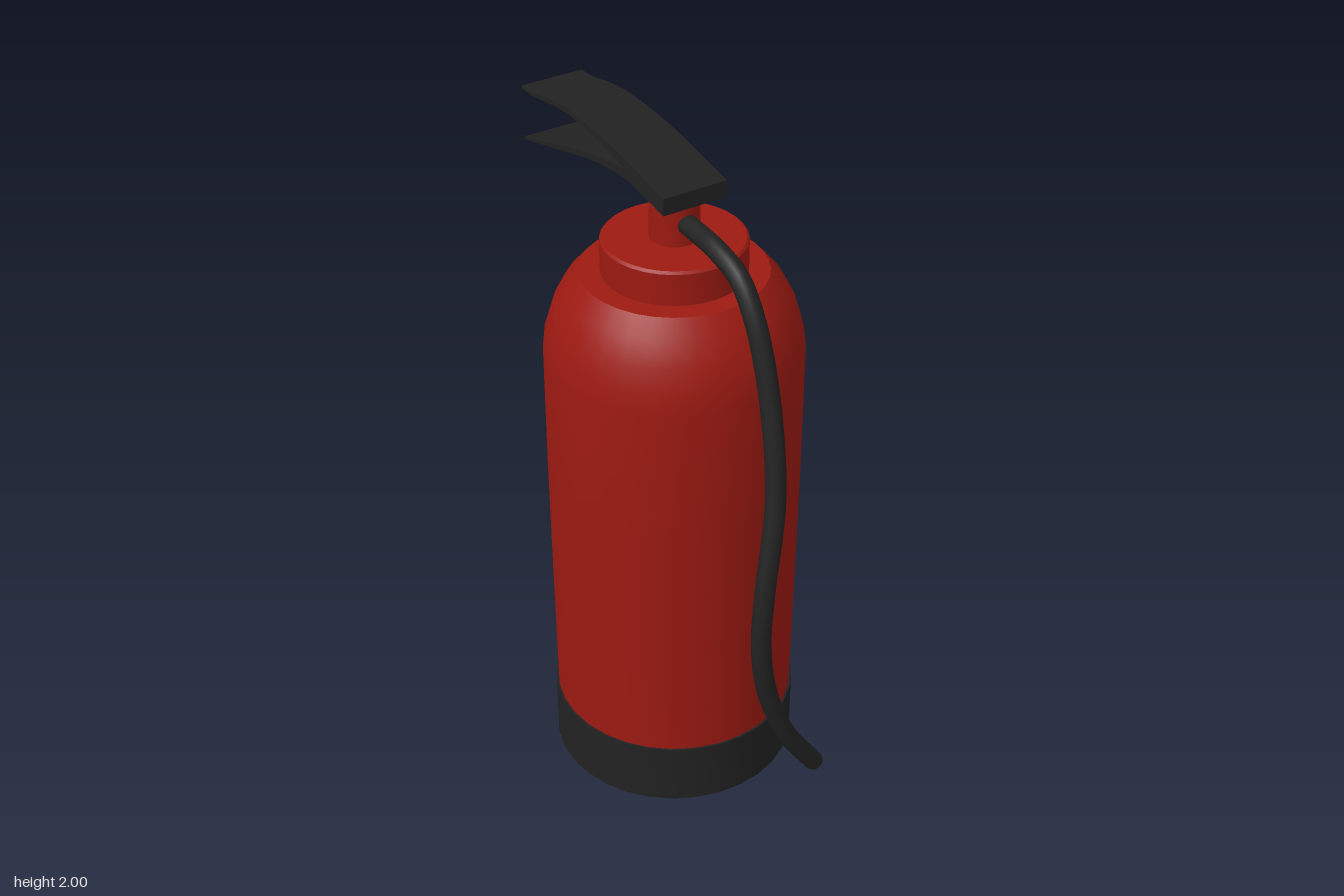
import * as THREE from 'three';
import { toCreasedNormals } from 'three/addons/utils/BufferGeometryUtils.js';

const red = new THREE.MeshStandardMaterial({ color: 0x9c1a12 });
const black = new THREE.MeshStandardMaterial({ color: 0x222222 });
const AXIS_Z = 0.025; // the bottle sits slightly forward of the centre
const points = (list) => list.map(([x, y]) => new THREE.Vector2(x, y));

function addMesh(group, name, geometry, material) {
  const mesh = new THREE.Mesh(geometry, material);
  mesh.name = name;
  group.add(mesh);
  return mesh;
}

// Turned part around the bottle axis, profile as [radius, height]
function addTurned(group, name, profile, material) {
  const geometry = toCreasedNormals(new THREE.LatheGeometry(points(profile), 32), 0.6);
  addMesh(group, name, geometry, material).position.z = AXIS_Z;
}

// Bent plate: top and underside as [distance towards the back, height], front to back
function addLever(group, name, top, under) {
  const shape = new THREE.Shape();
  shape.moveTo(...top[0]);
  shape.splineThru(points(top.slice(1)));
  shape.lineTo(...under[under.length - 1]);
  shape.splineThru(points(under.slice(0, -1).reverse()));
  shape.closePath();
  const geometry = new THREE.ExtrudeGeometry(shape, { depth: 0.2, bevelEnabled: false, curveSegments: 5 });
  geometry.translate(0, 0, -0.1).rotateY(Math.PI / 2);
  addMesh(group, name, toCreasedNormals(geometry, 0.5), black);
}

export function createModel() {
  const group = new THREE.Group();
  group.name = 'fireExtinguisher';

  // Bottle
  addTurned(group, 'base', [[0, 0], [0.37, 0], [0.37, 0.2], [0.3, 0.2]], black);
  addTurned(group, 'body', [
    [0.363, 0.19], [0.367, 0.6], [0.37, 1], [0.37, 1.4], [0.362, 1.47],
    [0.341, 1.54], [0.308, 1.605], [0.265, 1.655], [0.18, 1.655],
  ], red);
  addTurned(group, 'collar', [[0.205, 1.65], [0.205, 1.75], [0.198, 1.757], [0, 1.757]], red);
  addTurned(group, 'valve', [[0.07, 1.75], [0.07, 1.915], [0, 1.915]], red);

  // Levers
  const levers = new THREE.Group();
  levers.name = 'levers';
  group.add(levers);
  addLever(levers, 'upperLever',
    [[-0.125, 1.938], [0.02, 1.966], [0.15, 1.987], [0.34, 2], [0.47, 1.99], [0.55, 1.974], [0.62, 1.97]],
    [[-0.125, 1.925], [0.07, 1.945], [0.23, 1.977], [0.39, 1.985], [0.54, 1.965], [0.62, 1.962]]);
  addLever(levers, 'lowerLever',
    [[-0.125, 1.932], [0.02, 1.948], [0.18, 1.927], [0.34, 1.892], [0.5, 1.845], [0.615, 1.813]],
    [[-0.125, 1.888], [0.05, 1.915], [0.18, 1.907], [0.31, 1.881], [0.44, 1.848], [0.615, 1.804]]);

  // Hose
  const path = new THREE.CatmullRomCurve3([
    [0, 1.82, 0.05], [-0.005, 1.82, 0.16], [-0.01, 1.815, 0.25], [-0.006, 1.78, 0.34],
    [-0.003, 1.69, 0.41], [0, 1.5, 0.48], [-0.02, 1.21, 0.555], [-0.075, 0.92, 0.595],
    [-0.085, 0.75, 0.6], [-0.06, 0.57, 0.6], [0.015, 0.37, 0.6], [0.125, 0.2, 0.6],
  ].map((p) => new THREE.Vector3(...p)));
  addMesh(group, 'hose', new THREE.TubeGeometry(path, 60, 0.029, 12), black);
  const end = addMesh(group, 'hoseEnd', new THREE.CircleGeometry(0.029, 12), black);
  end.position.copy(path.getPointAt(1));
  end.quaternion.setFromUnitVectors(new THREE.Vector3(0, 0, 1), path.getTangentAt(1));

  return group;
}
